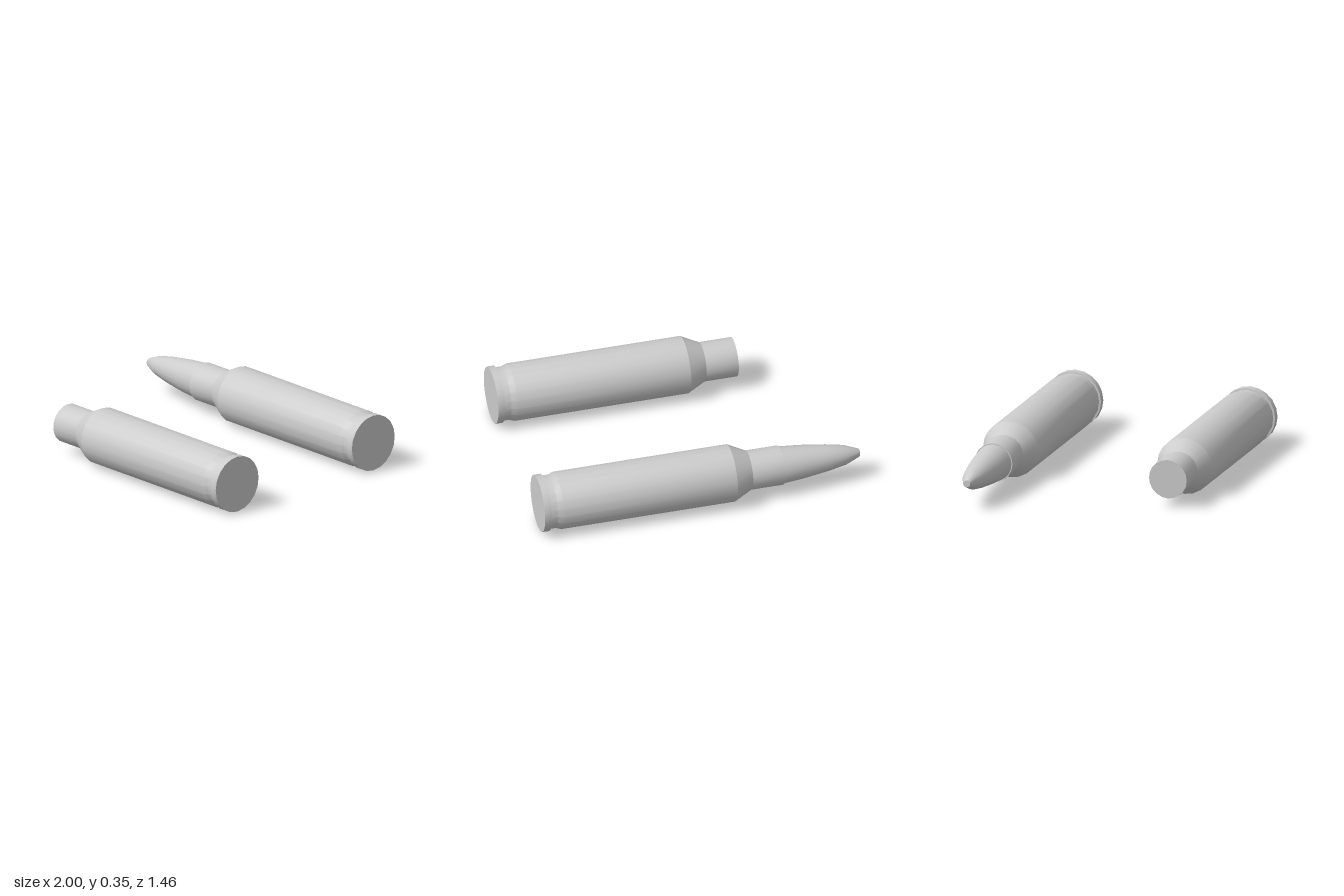
import * as THREE from 'three';
import { toCreasedNormals } from 'three/addons/utils/BufferGeometryUtils.js';

const SIDES = 20;
const RADIUS = 0.175;
const OFFSET = 0.555; // distance of each axis from the centre

// Profiles as [position along x, radius]
const CASING = [
  [-0.51, 0], [-0.51, 0.12], [-0.31, 0.12], [-0.2, RADIUS], [0.88, RADIUS],
  [0.915, 0.163], [0.955, 0.163], [0.957, RADIUS], [1, RADIUS], [1, 0],
];
const BULLET = [
  [-1, 0], [-1, 0.021], [-0.99, 0.028], [-0.91, 0.06], [-0.8, 0.081],
  [-0.65, 0.101], [-0.505, 0.114], [-0.505, 0],
];

const material = new THREE.MeshStandardMaterial({ color: 0xcccccc });

// Turned part whose axis lies along x
function turned(name, profile) {
  const points = profile.map(([x, r]) => new THREE.Vector2(r, x));
  const lathe = new THREE.LatheGeometry(points, SIDES).rotateZ(-Math.PI / 2);
  const mesh = new THREE.Mesh(toCreasedNormals(lathe, 0.42), material);
  mesh.name = name;
  return mesh;
}

export function createModel() {
  const model = new THREE.Group();
  model.name = 'cartridges';

  // Complete round at the back
  const round = new THREE.Group();
  round.name = 'loadedCartridge';
  round.add(turned('casing', CASING), turned('bullet', BULLET));
  round.position.set(0, RADIUS, -OFFSET);

  // Casing without a bullet at the front
  const spent = new THREE.Group();
  spent.name = 'spentCartridge';
  spent.add(turned('casing', CASING));
  spent.position.set(0, RADIUS, OFFSET);

  model.add(round, spent);
  return model;
}
